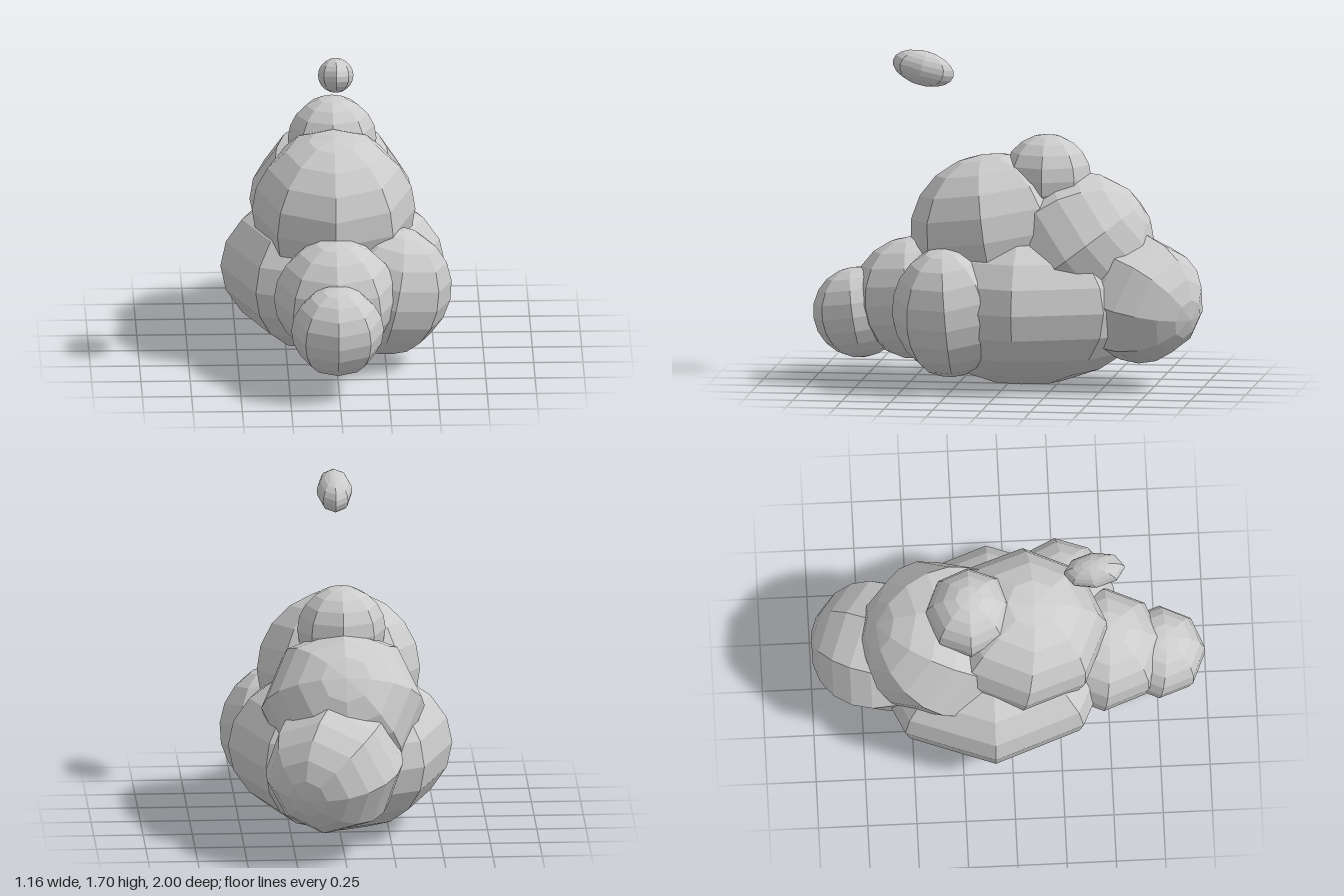
import * as THREE from 'three';

const material = new THREE.MeshStandardMaterial({ color: 0xcccccc, flatShading: true });
const unitBall = new THREE.SphereGeometry(1, 8, 10);

// One faceted ellipsoid: centre, radii and turn (radians, applied yaw - pitch - roll)
function lobe(name, centre, radii, turn = [0, 0, 0]) {
  const mesh = new THREE.Mesh(unitBall, material);
  mesh.name = name;
  mesh.position.set(...centre);
  mesh.scale.set(...radii);
  mesh.rotation.set(...turn, 'YXZ');
  return mesh;
}

export function createModel() {
  const model = new THREE.Group();
  model.name = 'lobedFigure';
  model.add(
    // broad base and the lobes stacked on it
    lobe('base', [-0.01, 0.42, -0.09], [0.57, 0.42, 0.64]),
    lobe('upperFrontLobe', [-0.01, 0.77, 0.07], [0.415, 0.405, 0.435], [0.15, 0, 0]),
    lobe('upperBackLobe', [-0.01, 0.69, -0.35], [0.415, 0.405, 0.405], [-0.93, 0, 0]),
    lobe('topKnob', [-0.01, 1.06, -0.2], [0.225, 0.22, 0.225]),
    // rear lobe, its pole turned backward and to one side
    lobe('rearLobe', [0.05, 0.46, -0.65], [0.35, 0.36, 0.335], [-1.82, -0.47, 0]),
    // front lobes
    lobe('chest', [-0.01, 0.43, 0.48], [0.315, 0.312, 0.315], [0.1, 0, 0]),
    lobe('snout', [-0.01, 0.35, 0.765], [0.235, 0.232, 0.235], [0.15, 0, 0]),
    lobe('leftSideLobe', [0.27, 0.4, 0.27], [0.315, 0.335, 0.285], [0.08, 0.08, -0.2]),
    // small floating bead
    lobe('floatingBead', [-0.01, 1.605, 0.435], [0.09, 0.088, 0.16], [-0.26, 0, 0]),
  );
  return model;
}
